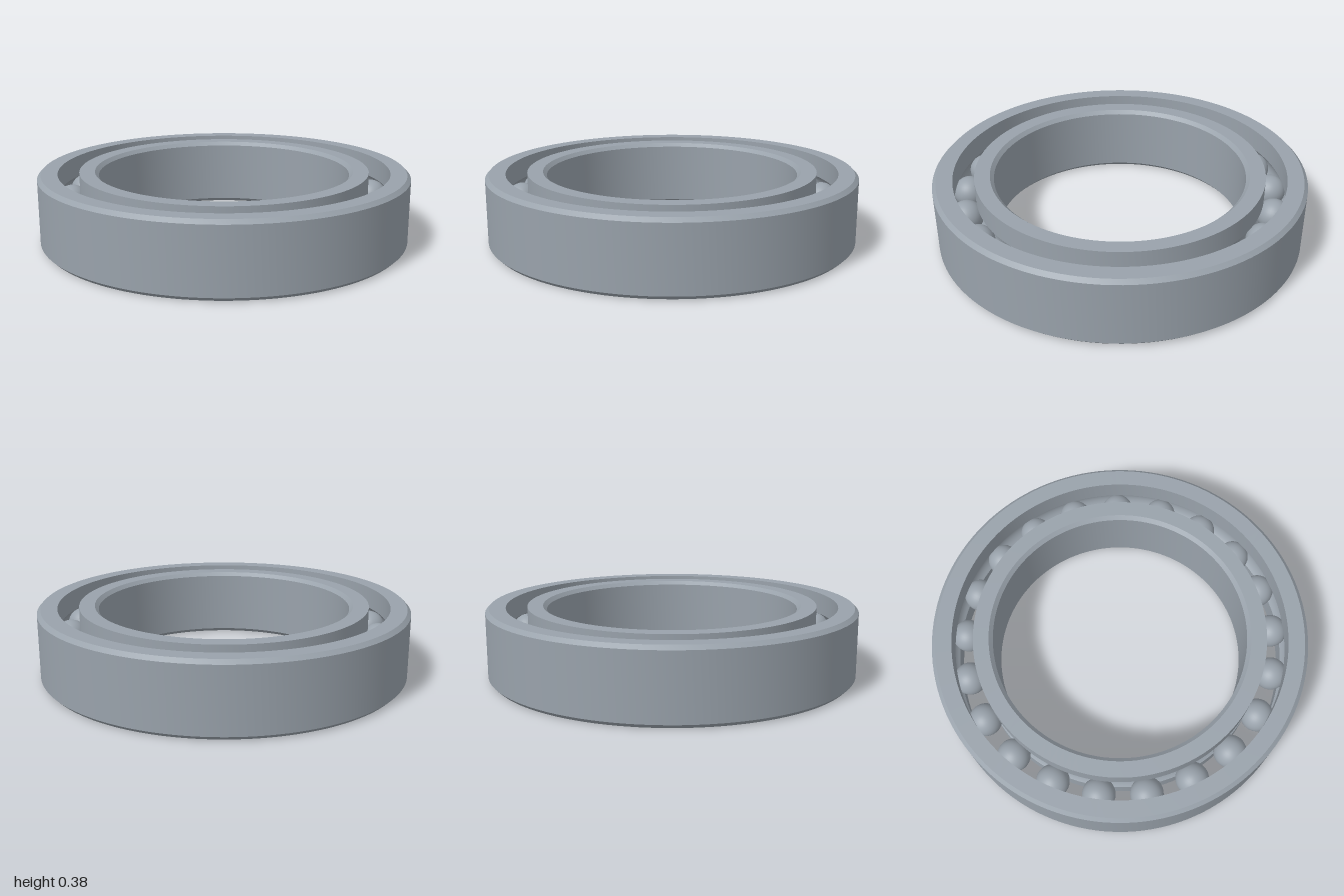
import * as THREE from 'three';
import { toCreasedNormals } from 'three/addons/utils/BufferGeometryUtils.js';

const HEIGHT = 0.38, MID = HEIGHT / 2, CHAMFER = 0.02;
const OUTER_R = 1, OUTER_LIP = 0.893, INNER_LIP = 0.78, BORE = 0.677;
const PITCH = (OUTER_LIP + INNER_LIP) / 2;
const BALL_R = 0.088, GROOVE_R = 0.091, BALLS = 21;

// Raceway groove as an arc in the (radius, height) plane
function groove(from, to) {
  return Array.from({ length: 13 }, (_, i) => {
    const t = from + (to - from) * i / 12;
    return [PITCH + GROOVE_R * Math.cos(t), MID + GROOVE_R * Math.sin(t)];
  });
}

// Closed counter-clockwise profile turned into a ring with sharp edges
function ring(name, profile, material) {
  const points = [...profile, profile[0]].map(([r, y]) => new THREE.Vector2(r, y));
  const geometry = toCreasedNormals(new THREE.LatheGeometry(points, 128), Math.PI / 6);
  const mesh = new THREE.Mesh(geometry, material);
  mesh.name = name;
  return mesh;
}

export function createModel() {
  const model = new THREE.Group();
  model.name = 'ballBearing';
  const steel = new THREE.MeshStandardMaterial({ color: 0x99a2ab });
  steel.name = 'steel';

  // Half angle at which the groove meets the straight lip
  const a = Math.acos((OUTER_LIP - PITCH) / GROOVE_R);

  model.add(ring('outerRing', [
    [OUTER_LIP, 0], [OUTER_R - CHAMFER, 0], [OUTER_R, CHAMFER],
    [OUTER_R, HEIGHT - CHAMFER], [OUTER_R - CHAMFER, HEIGHT], [OUTER_LIP, HEIGHT],
    ...groove(a, -a),
  ], steel));

  model.add(ring('innerRing', [
    [BORE, CHAMFER], [BORE + CHAMFER, 0], [INNER_LIP, 0],
    ...groove(Math.PI + a, Math.PI - a),
    [INNER_LIP, HEIGHT], [BORE + CHAMFER, HEIGHT], [BORE, HEIGHT - CHAMFER],
  ], steel));

  // Balls spaced evenly around the raceway
  const balls = new THREE.Group();
  balls.name = 'balls';
  const ballGeometry = new THREE.SphereGeometry(BALL_R, 32, 20);
  for (let i = 0; i < BALLS; i++) {
    const t = (i / BALLS) * Math.PI * 2 - 0.016;
    const ball = new THREE.Mesh(ballGeometry, steel);
    ball.name = 'ball';
    ball.position.set(PITCH * Math.sin(t), MID, -PITCH * Math.cos(t));
    balls.add(ball);
  }
  model.add(balls);
  return model;
}
